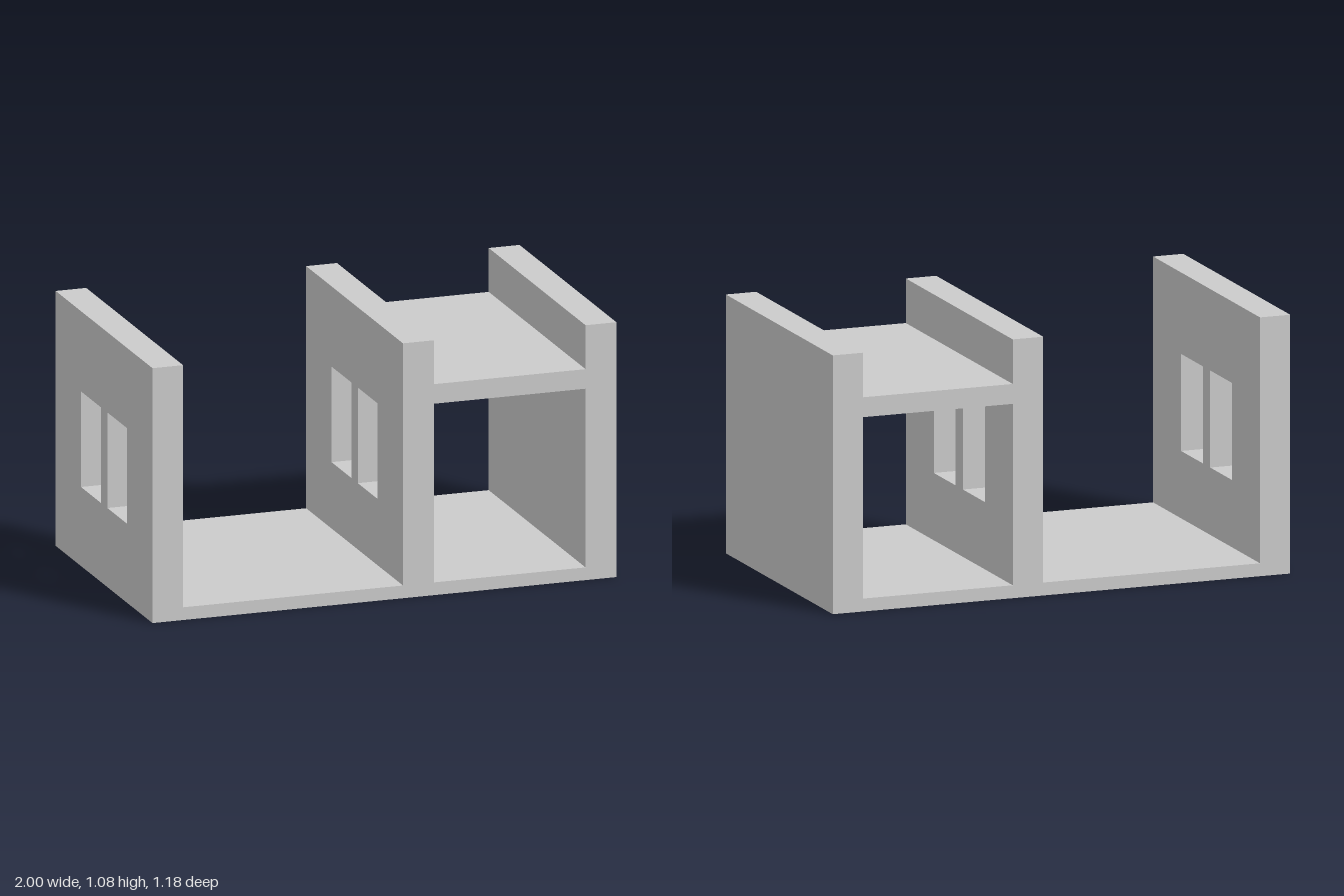
import * as THREE from 'three';

const HEIGHT = 1.08, DEPTH = 1.184;
const material = new THREE.MeshStandardMaterial({ color: 0xcccccc, flatShading: true });

function rect(path, x0, y0, x1, y1) {
  path.moveTo(x0, y0);
  path.lineTo(x1, y0);
  path.lineTo(x1, y1);
  path.lineTo(x0, y1);
  path.closePath();
  return path;
}

// Upright wall between x0 and x1, optionally pierced by a pair of windows
function wall(name, x0, x1, hasWindows) {
  const shape = rect(new THREE.Shape(), -DEPTH / 2, 0, DEPTH / 2, HEIGHT);
  if (hasWindows) {
    for (const z of [-0.282, 0.04]) {
      shape.holes.push(rect(new THREE.Path(), z, 0.335, z + 0.242, 0.74));
    }
  }
  const geometry = new THREE.ExtrudeGeometry(shape, { depth: x1 - x0, bevelEnabled: false });
  geometry.rotateY(Math.PI / 2);
  const mesh = new THREE.Mesh(geometry, material);
  mesh.position.x = x0;
  mesh.name = name;
  return mesh;
}

// Horizontal slab spanning the gap between two walls
function slab(name, x0, x1, y0, y1) {
  const mesh = new THREE.Mesh(new THREE.BoxGeometry(x1 - x0, y1 - y0, DEPTH), material);
  mesh.position.set((x0 + x1) / 2, (y0 + y1) / 2, 0);
  mesh.name = name;
  return mesh;
}

export function createModel() {
  const model = new THREE.Group();
  model.name = 'building';
  model.add(
    // Walls: two with windows, one solid
    wall('windowedOuterWall', -1, -0.868, true),
    wall('windowedMiddleWall', 0.08, 0.213, true),
    wall('solidOuterWall', 0.867, 1, false),
    // Floors and the roof over the narrow room
    slab('openRoomFloor', -0.868, 0.08, 0, 0.054),
    slab('coveredRoomFloor', 0.213, 0.867, 0, 0.054),
    slab('roofSlab', 0.213, 0.867, 0.811, 0.894),
  );
  return model;
}
